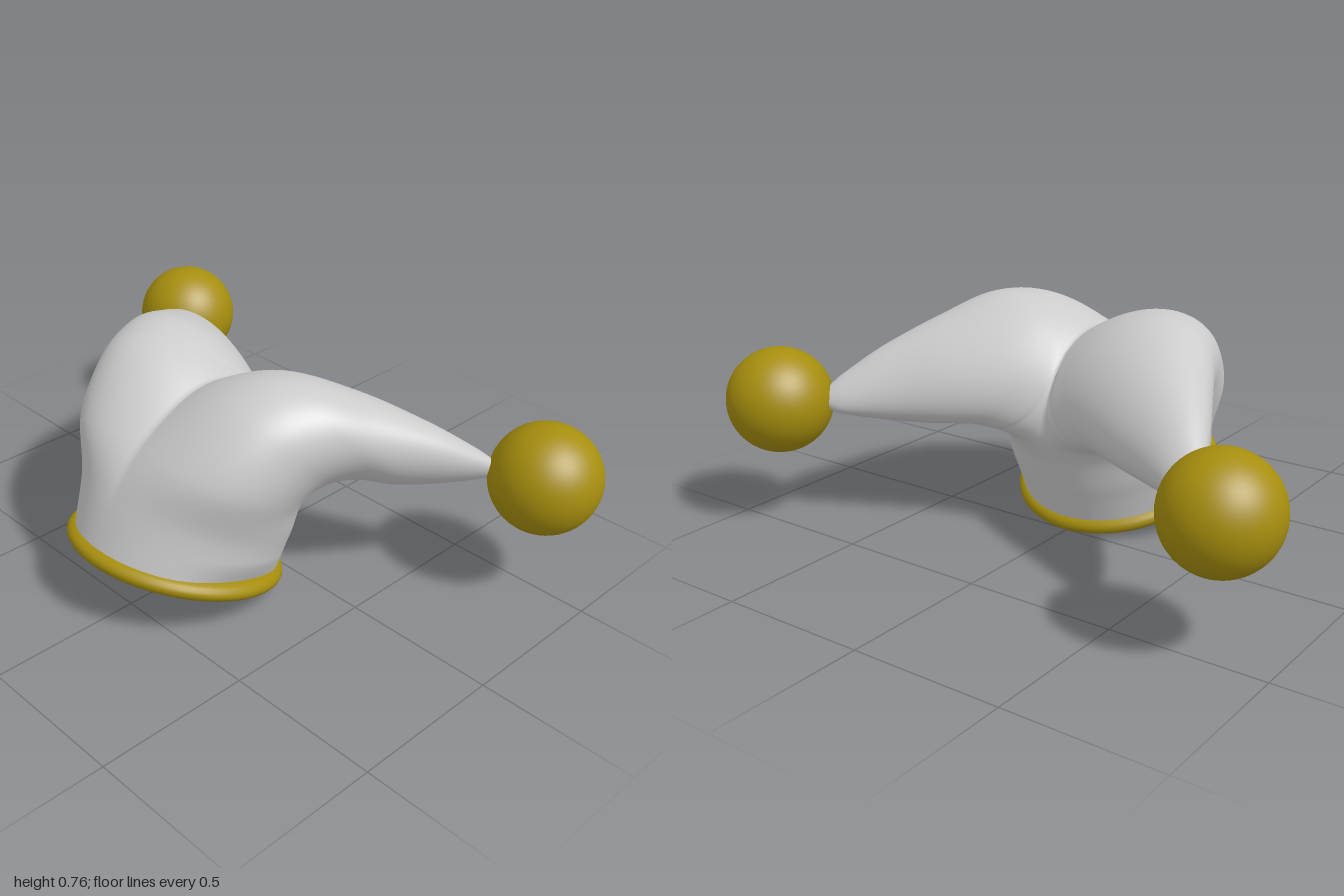
import * as THREE from 'three';
import { mergeGeometries, mergeVertices } from 'three/addons/utils/BufferGeometryUtils.js';

const cloth = new THREE.MeshStandardMaterial({ color: 0xcccccc, side: THREE.DoubleSide });
const gold = new THREE.MeshStandardMaterial({ color: 0xa68e0e });

// Cross-sections of one horn, brim to tip: centre, half axis up/front, half axis outward
const SECTIONS = [
  [[0, 0.135, 0.31], [0, 0.105, 0.31], [0.328, 0, 0]],
  [[0.005, 0.285, 0.25], [0.015, 0.125, 0.3], [0.35, 0, 0]],
  [[0.075, 0.435, 0.175], [0.05, 0.13, 0.28], [0.322, -0.02, 0.04]],
  [[0.19, 0.54, 0.07], [0.06, 0.185, 0.2], [0.25, -0.04, 0.055]],
  [[0.29, 0.565, -0.03], [0.04, 0.195, 0.13], [0.205, -0.035, 0.06]],
  [[0.42, 0.53, -0.145], [0.025, 0.165, 0.08], [0.14, -0.025, 0.07]],
  [[0.56, 0.485, -0.27], [0.02, 0.11, 0.04], [0.08, -0.01, 0.05]],
  [[0.66, 0.45, -0.365], [0.01, 0.055, 0.02], [0.035, 0, 0.03]],
  [[0.7, 0.44, -0.4], [0.004, 0.02, 0.008], [0.014, 0, 0.012]],
];

// Loft one half of the hat; each section is the arc on its own side of the middle plane.
// side is 1 for the left half and -1 for the mirrored right half.
function halfHat(side) {
  const rows = 64, cols = 80;
  const [centre, up, out] = [0, 1, 2].map(
    (k) => new THREE.CatmullRomCurve3(SECTIONS.map((s) => new THREE.Vector3(...s[k]))));
  const pos = [], index = [], closed = [];
  for (let i = 0; i <= rows; i++) {
    const c = centre.getPoint(i / rows), u = up.getPoint(i / rows), v = out.getPoint(i / rows);
    const middle = Math.atan2(v.x, u.x);
    const half = Math.acos(Math.max(-1, -c.x / Math.hypot(u.x, v.x)));
    const dip = 0.06 * Math.max(0, 1 - i / 4);
    closed.push(half === Math.PI);
    for (let j = 0; j <= cols; j++) {
      const t = middle + half * ((2 * j) / cols - 1);
      const p = c.clone().addScaledVector(u, Math.cos(t)).addScaledVector(v, Math.sin(t));
      // The hem sags and folds inward at the sides
      const sag = dip * Math.sin(t) ** 8;
      p.y -= sag;
      p.x *= 1 - 3 * sag;
      pos.push(side * (p.x < 1e-6 ? 0 : p.x), p.y, p.z);
    }
  }
  const triangle = (a, b, c) => index.push(...(side > 0 ? [a, b, c] : [a, c, b]));
  for (let i = 0; i < rows; i++) {
    const first = i * (cols + 1), next = first + cols + 1;
    for (let j = 0; j < cols; j++) {
      triangle(first + j, first + j + 1, next + j + 1);
      triangle(first + j, next + j + 1, next + j);
    }
    // Close the crotch where the horn leaves the middle plane
    if (!closed[i] && closed[i + 1]) triangle(first + cols, first, next);
  }
  const g = new THREE.BufferGeometry();
  g.setAttribute('position', new THREE.Float32BufferAttribute(pos, 3));
  g.setIndex(index);
  return g;
}

export function createModel() {
  const group = new THREE.Group();
  const add = (name, geometry, material, x, y, z) => {
    const mesh = new THREE.Mesh(geometry, material);
    mesh.name = name;
    mesh.position.set(x, y, z);
    group.add(mesh);
    return mesh;
  };

  // Two-horned cloth body, welded along the middle
  const body = mergeVertices(mergeGeometries([halfHat(1), halfHat(-1)]), 1e-5);
  body.computeVertexNormals();
  add('hatBody', body, cloth, 0, 0, 0);

  // Tilted rolled brim, slightly flattened
  const brim = add('brim', new THREE.TorusGeometry(0.307, 0.044, 20, 80), gold, 0, 0.134, 0.31);
  brim.rotation.x = -(Math.PI / 2 + 0.326);
  brim.scale.z = 0.7;

  // Ball on each horn tip
  for (const side of [1, -1]) {
    add(side > 0 ? 'leftBall' : 'rightBall', new THREE.SphereGeometry(0.175, 48, 32), gold,
      side * 0.825, 0.43, -0.47);
  }
  return group;
}
